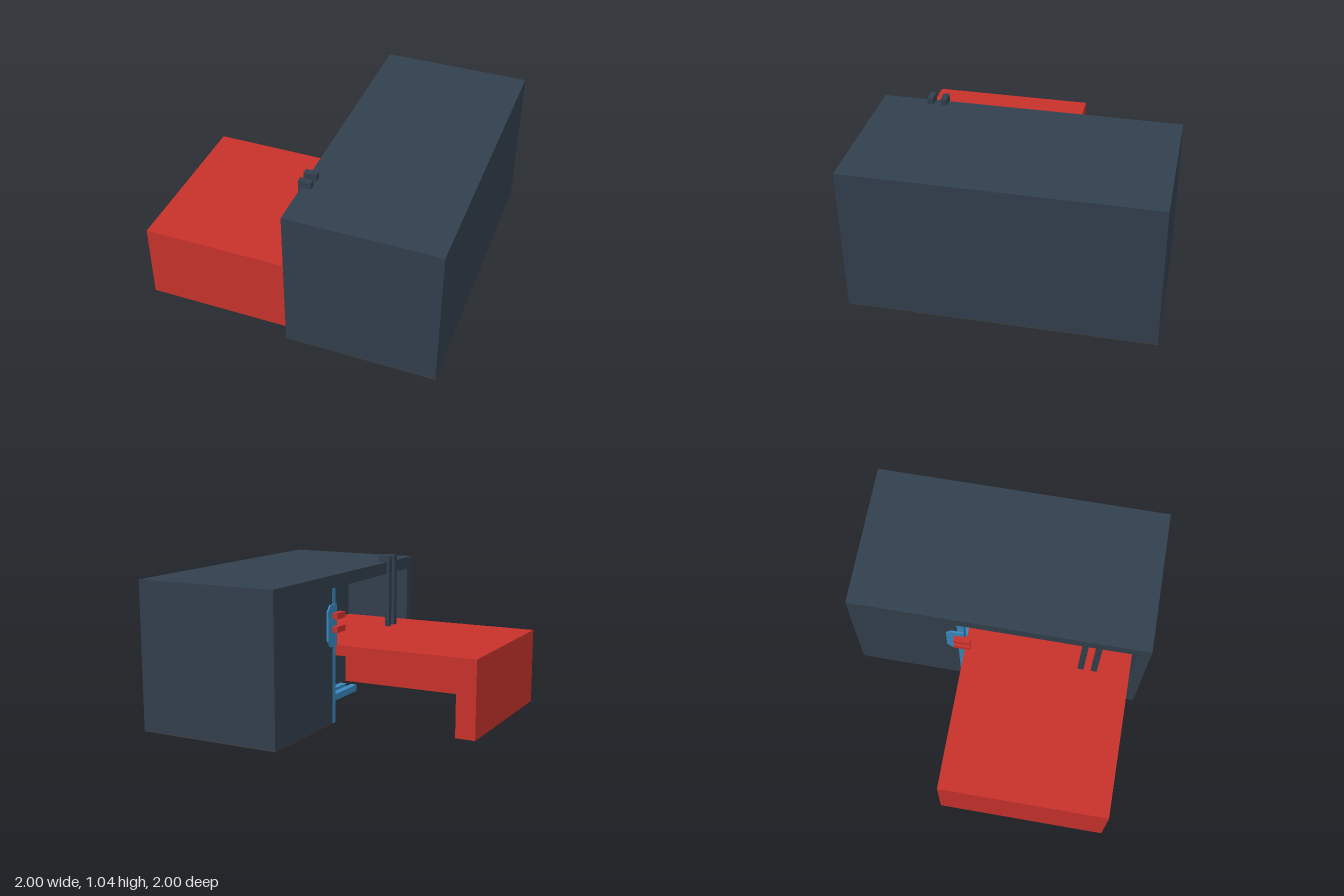
import * as THREE from 'three';

const paint = (name, hex) => {
  const m = new THREE.MeshStandardMaterial({ color: hex });
  m.name = name;
  return m;
};

export function createModel() {
  const slate = paint('slate', 0x323f4d);
  const red = paint('red', 0xc8322b);
  const blue = paint('blue', 0x3988be);
  const charcoal = paint('charcoal', 0x404340);
  const model = new THREE.Group();
  model.name = 'bodyWithSlidingTray';

  const add = (name, geometry, material, parent = model) => {
    const mesh = new THREE.Mesh(geometry, material);
    mesh.name = name;
    parent.add(mesh);
    return mesh;
  };
  // Box given by its limits on each axis
  const box = (name, material, [x0, x1], [y0, y1], [z0, z1], parent) => {
    const g = new THREE.BoxGeometry(x1 - x0, y1 - y0, z1 - z0);
    g.translate((x0 + x1) / 2, (y0 + y1) / 2, (z0 + z1) / 2);
    return add(name, g, material, parent);
  };
  // Floor outline in x and z, raised from y0 to y1
  const raise = (outline, y0, y1) => {
    const shape = new THREE.Shape(outline.map(([x, z]) => new THREE.Vector2(x, -z)));
    const g = new THREE.ExtrudeGeometry(shape, { depth: y1 - y0, bevelEnabled: false });
    return g.rotateX(-Math.PI / 2).translate(0, y0, 0);
  };

  // Main body: walls round a cavity that opens to the side and below, plus roof and base skin
  const walls = [
    [0, -1], [1, -1], [1, 1], [0, 1], [0, 0.915], [0.5, 0.915],
    [0.5, -0.92], [0.056, -0.92], [0.056, -0.27], [0, -0.27],
  ];
  add('bodyWalls', raise(walls, 0.006, 0.915), slate);
  add('bodyBase', raise(walls, 0, 0.006), charcoal);
  box('bodyRoof', slate, [0, 1], [0.915, 1], [-1, 1]);

  // Sliding tray: a slab with an outer wall and a front wall
  const tray = new THREE.Group();
  tray.name = 'tray';
  model.add(tray);
  box('trayTop', red, [-1, 0.495], [0.46, 0.53], [-0.225, 0.908], tray);
  box('trayOuterWall', red, [-1, -0.864], [0.004, 0.46], [-0.225, 0.908], tray);
  box('trayFrontWall', red, [-0.864, 0.495], [0.004, 0.46], [0.85, 0.908], tray);
  box('trayFootPad', charcoal, [-0.985, -0.875], [0, 0.004], [-0.21, 0.89], tray);

  // Blue trim on the edge of the opening, with a chamfered latch plate
  box('openingTrim', blue, [0, 0.056], [0, 0.915], [-0.27, -0.225]);
  const plate = new THREE.Shape();
  [[0.225, 0.53], [0.31, 0.53], [0.345, 0.575], [0.345, 0.77], [0.31, 0.81], [0.225, 0.81]]
    .forEach(([a, b], i) => (i ? plate.lineTo(a, b) : plate.moveTo(a, b)));
  const plateGeometry = new THREE.ExtrudeGeometry(plate, { depth: 0.012, bevelEnabled: false });
  plateGeometry.rotateY(Math.PI / 2).translate(-0.012, 0, 0);
  add('latchPlate', plateGeometry, blue);
  for (const y of [0.625, 0.715]) {
    box('latchTab', red, [-0.05, -0.005], [y, y + 0.04], [-0.29, -0.18]);
  }

  // Grooved rail on the cavity floor
  const rail = new THREE.Group();
  rail.name = 'floorRail';
  model.add(rail);
  box('railUnderside', slate, [0.26, 0.5], [0.001, 0.008], [-0.75, 0.59], rail);
  box('railBed', blue, [0.26, 0.5], [0.008, 0.03], [-0.75, 0.59], rail);
  for (const x of [0.26, 0.35, 0.44]) {
    box('railRidge', blue, [x, x + 0.05], [0.03, 0.055], [-0.75, 0.59], rail);
  }

  // Pair of hooks hanging from the roof edge down to the tray
  for (const z of [0.557, 0.647]) {
    const hook = new THREE.Group();
    hook.name = 'hook';
    model.add(hook);
    box('hookArm', slate, [-0.02, 0.065], [1, 1.045], [z, z + 0.04], hook);
    box('hookBar', slate, [-0.02, 0.012], [0.53, 1], [z, z + 0.04], hook);
  }
  return model;
}
